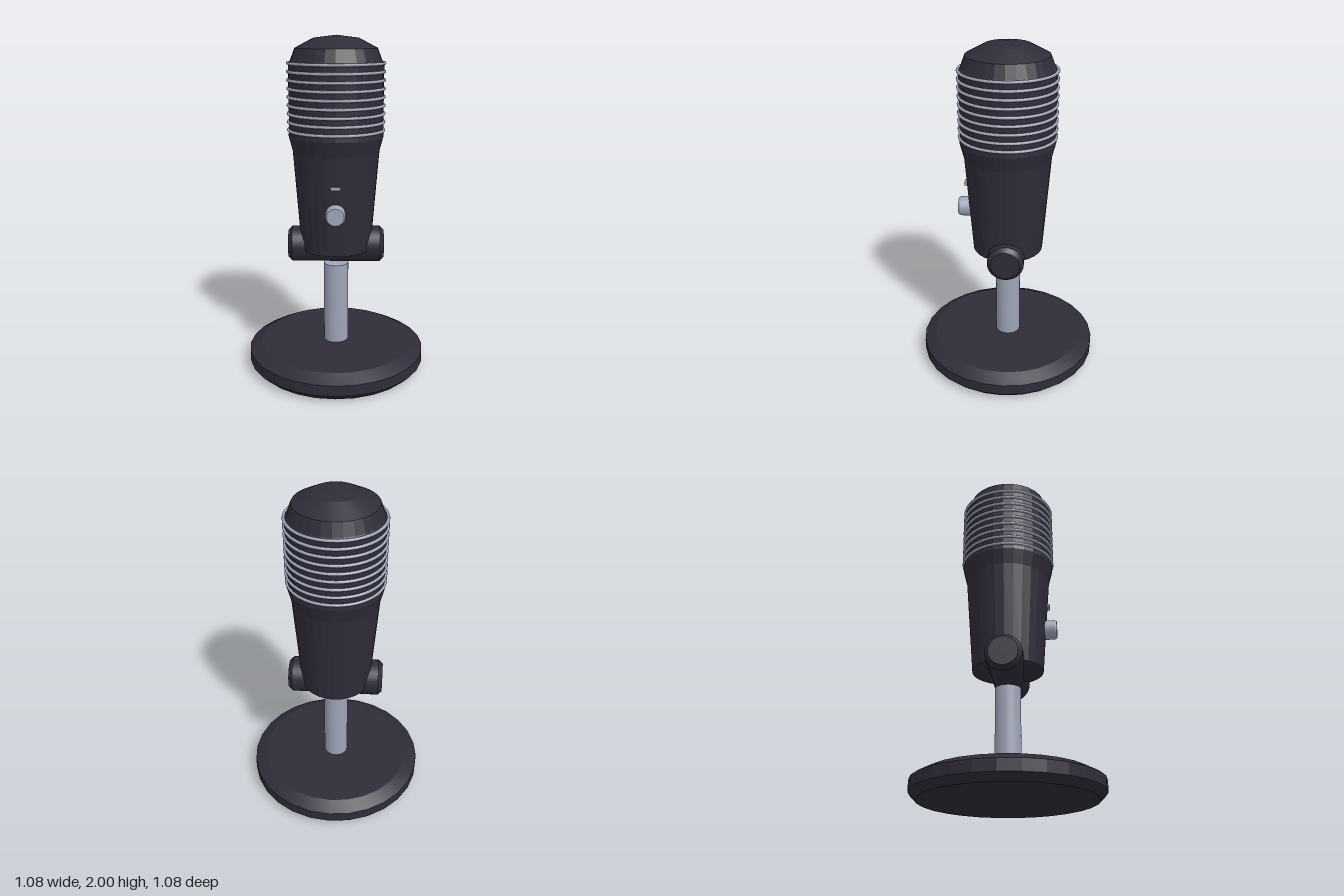
import * as THREE from 'three';
import { toCreasedNormals } from 'three/addons/utils/BufferGeometryUtils.js';

const SIDES = 28;

export function createModel() {
  const model = new THREE.Group();
  model.name = 'deskMicrophone';

  const shell = new THREE.MeshStandardMaterial({ color: 0x2e2c38 });
  shell.name = 'dark shell';
  const metal = new THREE.MeshStandardMaterial({ color: 0x9fa5b9 });
  metal.name = 'brushed metal';

  function add(name, geometry, material, x = 0, y = 0, z = 0) {
    const mesh = new THREE.Mesh(geometry, material);
    mesh.name = name;
    mesh.position.set(x, y, z);
    model.add(mesh);
    return mesh;
  }

  // Turned part from [radius, height] pairs listed bottom to top
  function turned(profile, sides = SIDES, crease = 0.15) {
    const points = profile.map(([r, y]) => new THREE.Vector2(r, y));
    return toCreasedNormals(new THREE.LatheGeometry(points, sides), crease);
  }

  // Bevelled disc base
  add('base', turned([
    [0, 0], [0.5, 0], [0.54, 0.04], [0.54, 0.105], [0.465, 0.145], [0, 0.145],
  ]), shell);

  // Stem
  add('stem', turned([
    [0, 0.13], [0.075, 0.13], [0.075, 0.648], [0, 0.648],
  ], SIDES, 0.5), metal);

  // Horizontal pivot with bevelled ends
  const pivot = add('pivot', turned([
    [0, -0.287], [0.085, -0.287], [0.108, -0.262],
    [0.108, 0.262], [0.085, 0.287], [0, 0.287],
  ], SIDES, 0.5), shell, 0, 0.768, 0);
  pivot.rotation.z = Math.PI / 2;

  // Tapered body, grille core and domed cap
  add('body', turned([
    [0, 0.71], [0.1, 0.71], [0.21, 0.75], [0.255, 1.34], [0.278, 1.43], [0.275, 1.46],
  ]), shell);
  add('grilleCore', turned([[0.275, 1.46], [0.275, 1.845], [0.265, 1.855]]), shell);
  add('cap', turned([
    [0.265, 1.855], [0.237, 1.928], [0.13, 1.984], [0, 2],
  ]), shell);

  // Grille rings
  const ringGeometry = new THREE.TorusGeometry(0.277, 0.009, 8, 56);
  for (let i = 0; i < 9; i++) {
    const ring = add('grilleRing', ringGeometry, metal, 0, 1.465 + i * 0.0475, 0);
    ring.rotation.x = Math.PI / 2;
  }

  // Front knob
  const knob = add('knob', turned([
    [0, 0], [0.058, 0], [0.058, 0.082], [0.05, 0.095], [0, 0.095],
  ], 24, 0.5), metal, 0, 1.012, 0.2);
  knob.rotation.x = Math.PI / 2;

  // Indicator above the knob
  add('indicator', new THREE.BoxGeometry(0.056, 0.018, 0.03), metal, 0, 1.166, 0.241);

  return model;
}
